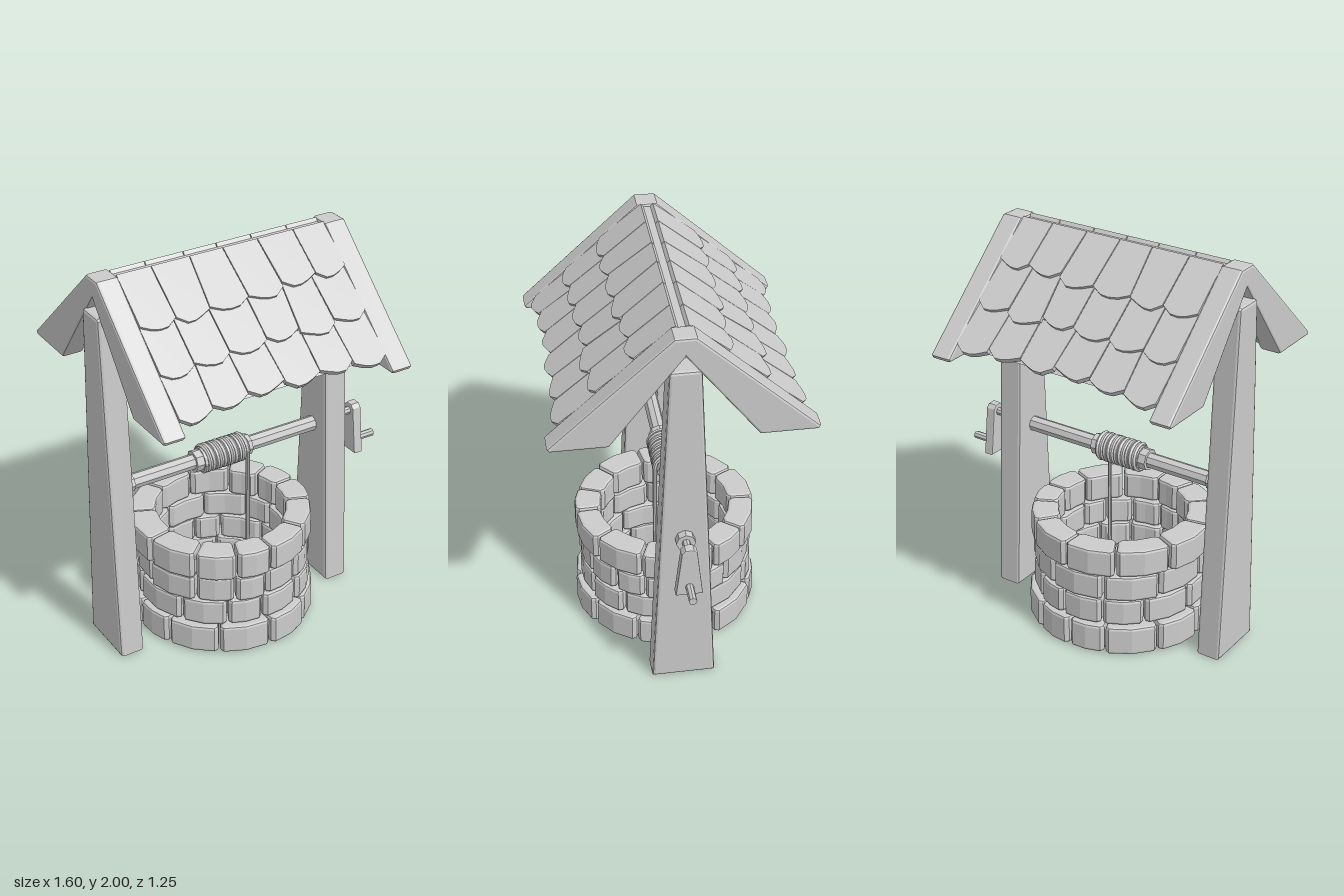
import * as THREE from 'three';

const material = new THREE.MeshStandardMaterial({ color: 0xcccccc, flatShading: true });
const CX = -0.125; // centre of the well shaft along x

let seed = 7;
const jitter = (amount) => {
  seed = (seed * 16807) % 2147483647;
  return (seed / 2147483647 - 0.5) * 2 * amount;
};

function add(parent, name, geometry) {
  const mesh = new THREE.Mesh(geometry, material);
  mesh.name = name;
  parent.add(mesh);
  return mesh;
}

function bevelled(points, depth, bevel) {
  const shape = new THREE.Shape(points.map(([x, y]) => new THREE.Vector2(x, y)));
  return new THREE.ExtrudeGeometry(shape, {
    depth: depth - 2 * bevel, bevelEnabled: bevel > 0, bevelThickness: bevel,
    bevelSize: bevel, bevelOffset: -bevel, bevelSegments: 2,
  }).translate(0, 0, bevel);
}

// Extrudes a symmetric [z, y] profile from x0 to x1
const alongX = (profile, x0, x1, bevel) =>
  bevelled(profile, x1 - x0, bevel).rotateY(Math.PI / 2).translate(x0, 0, 0);

// Completes a half profile by mirroring it in z
const mirrored = (half) =>
  [...half, ...half.slice().reverse().filter(([z]) => z !== 0).map(([z, y]) => [-z, y])];

const rodX = (x0, x1, y, r, sides) =>
  new THREE.CylinderGeometry(r, r, x1 - x0, sides).rotateZ(Math.PI / 2).translate((x0 + x1) / 2, y, 0);

// One curved block: a ring sector with clipped corners
function stone(a0, a1, rIn, rOut, y0, y1) {
  const at = (r, a) => [r * Math.cos(a), r * Math.sin(a)];
  const c = 0.018, mid = (a0 + a1) / 2;
  const points = [
    at(rOut - c, a0), at(rOut, a0 + c / rOut), at(rOut + 0.004, mid), at(rOut, a1 - c / rOut), at(rOut - c, a1),
    at(rIn + c, a1), at(rIn, a1 - c / rIn), at(rIn, mid), at(rIn, a0 + c / rIn), at(rIn + c, a0),
  ];
  return bevelled(points, y1 - y0, 0.014).rotateX(-Math.PI / 2).translate(CX, y0, 0);
}

function buildWall() {
  const wall = new THREE.Group();
  wall.name = 'stoneWall';
  const courses = [[0.005, 0.16, 0.465], [0.16, 0.3, 0.44], [0.3, 0.44, 0.44], [0.44, 0.588, 0.455]];
  courses.forEach(([y0, y1, r], row) => {
    const widths = Array.from({ length: 12 }, () => 1 + jitter(0.3));
    const total = widths.reduce((sum, w) => sum + w, 0);
    let a = row * 0.27 + 0.1;
    for (const w of widths) {
      const next = a + (w / total) * Math.PI * 2;
      add(wall, 'stone', stone(a + 0.01, next - 0.01, 0.325 + jitter(0.008), r + jitter(0.008),
        y0 + 0.003, y1 - 0.003 + jitter(0.003)));
      a = next;
    }
  });
  return wall;
}

// One shingle lying on the slope from (zTop, yTop) to (zEnd, yEnd); side is 1 front, -1 back
function shingle(top, end, [xa, xb], [xc, xd], side, skew) {
  const dz = end[0] - top[0], dy = end[1] - top[1], length = Math.hypot(dz, dy);
  const w = xd - xc, drop = 0.035, g = 0.002;
  const points = [
    [xa + g, 0], [xc + g, -length + drop], [xc + w * 0.28, -length + 0.006 + skew], [xc + w * 0.5, -length],
    [xc + w * 0.72, -length + 0.006 - skew], [xd - g, -length + drop], [xb - g, 0],
  ].map(([x, y]) => [x * side, y]);
  const geometry = bevelled(points, 0.028, 0).translate(0, 0, -0.028)
    .rotateX(Math.atan2(-dz, -dy)).translate(0, top[1], top[0]);
  return side < 0 ? geometry.rotateY(Math.PI) : geometry;
}

function buildRoof() {
  const roof = new THREE.Group();
  roof.name = 'roof';

  // Gable frames over each post
  const gable = mirrored([[0, 1.905], [0.345, 1.455], [0.615, 1.455], [0.625, 1.472], [0.05, 2]]);
  for (const x of [-0.785, 0.43]) add(roof, 'gableFrame', alongX(gable, x, x + 0.112, 0.012));

  // Solid roof boards and ridge bar
  add(roof, 'roofBoards', alongX(mirrored([[0, 1.87], [0.31, 1.5], [0.52, 1.5], [0.03, 1.97]]), -0.69, 0.445, 0));
  add(roof, 'ridgeBar', alongX(mirrored([[0.035, 1.93], [0.035, 1.972], [0.018, 1.986]]), -0.69, 0.445, 0));

  // Three overlapping rows of shingles on both slopes
  const slopeY = (z) => 2 - (z - 0.05) * 0.922;
  const seams = [-0.675, -0.49, -0.305, -0.118, 0.07, 0.255, 0.435];
  const rows = [[0.03, 0.255], [0.2, 0.425], [0.38, 0.582]];
  rows.forEach(([z0, z1]) => {
    const shifted = () => seams.map((x, i) => (i % 6 ? x + jitter(0.014) : x));
    const upper = shifted(), lower = shifted();
    for (let i = 0; i < 6; i++) {
      const zEnd = z1 + jitter(0.012), skew = jitter(0.008);
      for (const side of [1, -1]) {
        add(roof, 'shingle', shingle([z0, slopeY(z0) - 0.016], [zEnd, slopeY(zEnd) + 0.01],
          [upper[i], upper[i + 1]], [lower[i], lower[i + 1]], side, skew));
      }
    }
  });
  return roof;
}

function buildWindlass() {
  const windlass = new THREE.Group();
  windlass.name = 'windlass';
  const y = 0.89;
  add(windlass, 'shaft', rodX(-0.68, 0.43, y, 0.039, 8));

  // Collars at the posts and beside the rope
  for (const [x0, x1, r] of [[-0.68, -0.625, 0.047], [0.53, 0.587, 0.047], [-0.285, -0.245, 0.055], [-0.005, 0.033, 0.055]])
    add(windlass, 'collar', rodX(x0, x1, y, r, 8));

  // Wound rope with a free end hanging into the well
  const turns = 11, steps = turns * 12, coil = [];
  for (let i = 0; i <= steps; i++) {
    const a = Math.PI / 2 + (i / steps) * turns * Math.PI * 2;
    coil.push(new THREE.Vector3(-0.24 + 0.235 * (i / steps), y + 0.063 * Math.cos(a), 0.063 * Math.sin(a)));
  }
  add(windlass, 'ropeCore', rodX(-0.245, -0.005, y, 0.06, 12));
  add(windlass, 'ropeCoil', new THREE.TubeGeometry(new THREE.CatmullRomCurve3(coil), steps * 2, 0.012, 6));
  add(windlass, 'hangingRope', new THREE.CylinderGeometry(0.011, 0.011, 0.69, 8).translate(-0.006, 0.545, 0.063));

  // Crank
  add(windlass, 'crankAxle', rodX(0.57, 0.66, 0.895, 0.02, 8));
  const arm = mirrored([[0.065, 0.665], [0.037, 0.915], [0.02, 0.935]]);
  add(windlass, 'crankArm', alongX(arm, 0.645, 0.695, 0.006));
  add(windlass, 'crankHandle', rodX(0.69, 0.8, 0.715, 0.02, 8));
  return windlass;
}

export function createModel() {
  const model = new THREE.Group();
  model.name = 'well';
  model.add(buildWall());

  // Tapered posts
  const post = mirrored([[0.157, 0.005], [0.075, 1.82], [0.065, 1.83]]);
  for (const x of [-0.8, 0.42]) add(model, 'post', alongX(post, x, x + 0.127, 0.014));

  model.add(buildRoof(), buildWindlass());
  return model;
}
